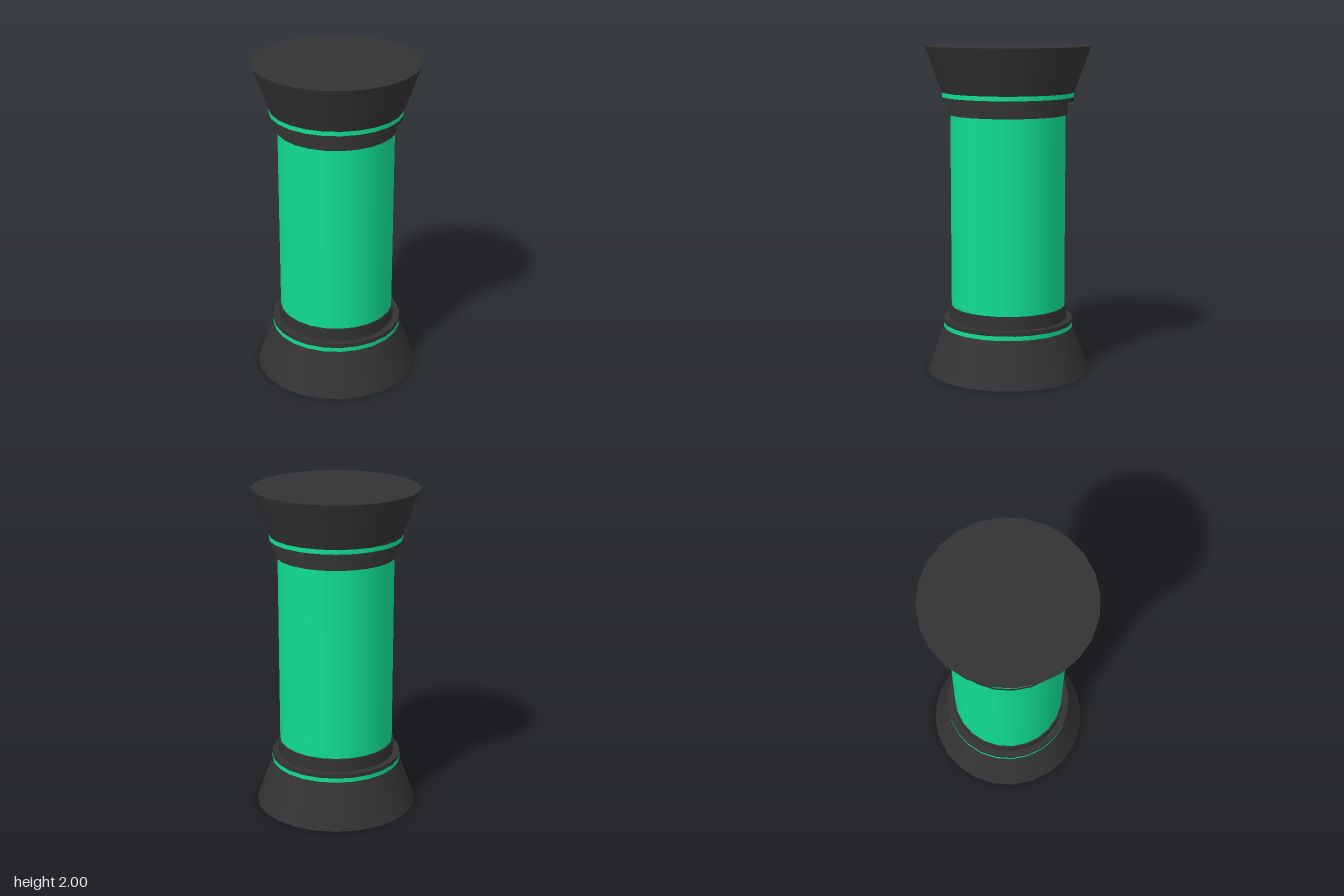
import * as THREE from 'three';

const SIDES = 24;

export function createModel() {
  const model = new THREE.Group();
  model.name = 'pillar';
  const dark = new THREE.MeshStandardMaterial({ color: 0x333333 });
  const green = new THREE.MeshStandardMaterial({ color: 0x10de92 });

  // Round section between two heights
  const section = (name, rBottom, rTop, y0, y1, material) => {
    const geometry = new THREE.CylinderGeometry(rTop, rBottom, y1 - y0, SIDES);
    const mesh = new THREE.Mesh(geometry, material);
    mesh.name = name;
    mesh.position.y = (y0 + y1) / 2;
    return mesh;
  };

  // Flared end: foot, coloured band, rim and collar
  const makeEnd = (name) => {
    const end = new THREE.Group();
    end.name = name;
    end.add(
      section('flare', 0.5, 0.4, 0, 0.278, dark),
      section('band', 0.4, 0.4, 0.278, 0.305, green),
      section('rim', 0.4, 0.4, 0.305, 0.33, dark),
      section('collar', 0.36, 0.36, 0.33, 0.412, dark),
    );
    return end;
  };

  const base = makeEnd('base');
  const capital = makeEnd('capital');
  capital.rotation.x = Math.PI;
  capital.position.y = 2;

  // Coloured shaft between the two collars
  model.add(base, capital, section('shaft', 0.35, 0.35, 0.4, 1.6, green));
  return model;
}
